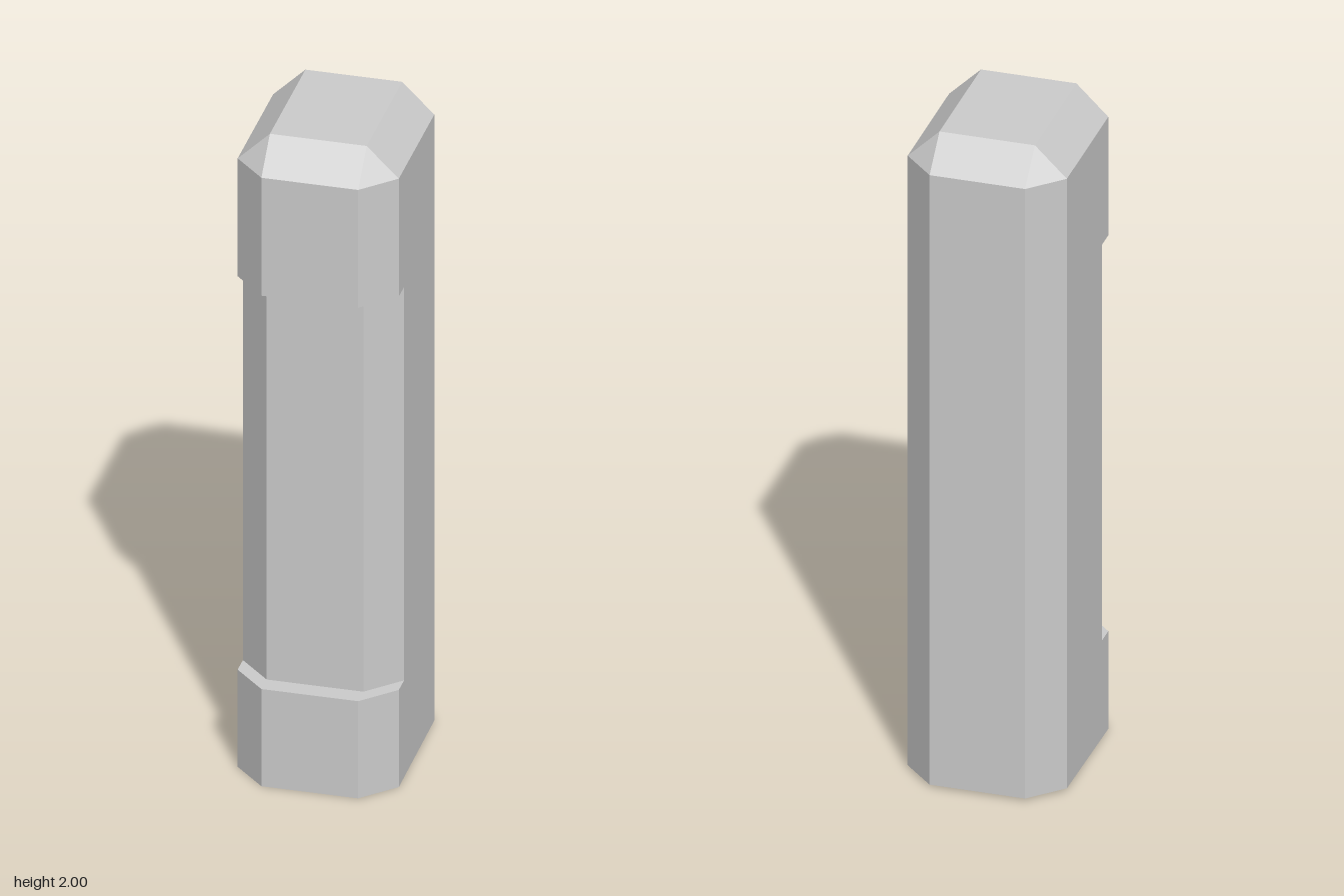
import * as THREE from 'three';

const W = 0.23, D = 0.284, CH = 0.092; // half width, half depth, corner chamfer
const RECESS = 0.057;                  // how far the front is set back

// Eight-sided cross-section: chamfered rectangle, going from +x towards +z
function ring(y, { frontShift = 0, inset = 0, backLift = 0 } = {}) {
  const w = W - CH, d = D - CH;
  const outline = [
    [W - inset, d], [w, D - inset], [-w, D - inset], [-(W - inset), d],
    [-(W - inset), -d], [-w, -(D - inset)], [w, -(D - inset)], [W - inset, -d],
  ];
  return outline.map(([x, z]) =>
    new THREE.Vector3(x, z < 0 ? y + backLift : y, z > 0 ? z - frontShift : z));
}

// Skin a stack of rings, with optional flat end faces
function loft(name, rings, capBottom, capTop) {
  const positions = [];
  const tri = (a, b, c) => {
    if (new THREE.Triangle(a, b, c).getArea() > 1e-6) {
      for (const p of [a, b, c]) positions.push(p.x, p.y, p.z);
    }
  };
  for (let r = 0; r < rings.length - 1; r++) {
    const low = rings[r], high = rings[r + 1];
    for (let i = 0; i < 8; i++) {
      const j = (i + 1) % 8;
      tri(low[i], high[i], low[j]);
      tri(high[i], high[j], low[j]);
    }
  }
  const bottom = rings[0], top = rings[rings.length - 1];
  for (let i = 1; i < 7; i++) {
    if (capBottom) tri(bottom[0], bottom[i], bottom[i + 1]);
    if (capTop) tri(top[0], top[i + 1], top[i]);
  }
  const geometry = new THREE.BufferGeometry();
  geometry.setAttribute('position', new THREE.Float32BufferAttribute(positions, 3));
  geometry.computeVertexNormals();
  const mesh = new THREE.Mesh(geometry,
    new THREE.MeshStandardMaterial({ color: 0xcccccc, flatShading: true }));
  mesh.name = name;
  return mesh;
}

export function createModel() {
  const recessed = { frontShift: RECESS };
  const pillar = new THREE.Group();
  pillar.name = 'pillar';
  pillar.add(
    // foot block with the lower ledge
    loft('footBlock', [ring(0, { backLift: 0.008 }), ring(0.305), ring(0.305, recessed)], true, false),
    // middle with its front set back
    loft('recessedShaft', [ring(0.305, recessed), ring(1.54, recessed)], false, false),
    // upper block with the overhang
    loft('headBlock', [ring(1.54, recessed), ring(1.54), ring(1.91)], false, false),
    // bevelled top: the chamfers close to a rectangle
    loft('bevelledCap', [ring(1.91), ring(2, { inset: CH })], false, true),
  );
  // the whole pillar stands turned on its axis
  pillar.rotation.y = -THREE.MathUtils.degToRad(15);

  const model = new THREE.Group();
  model.name = 'model';
  model.add(pillar);
  return model;
}
